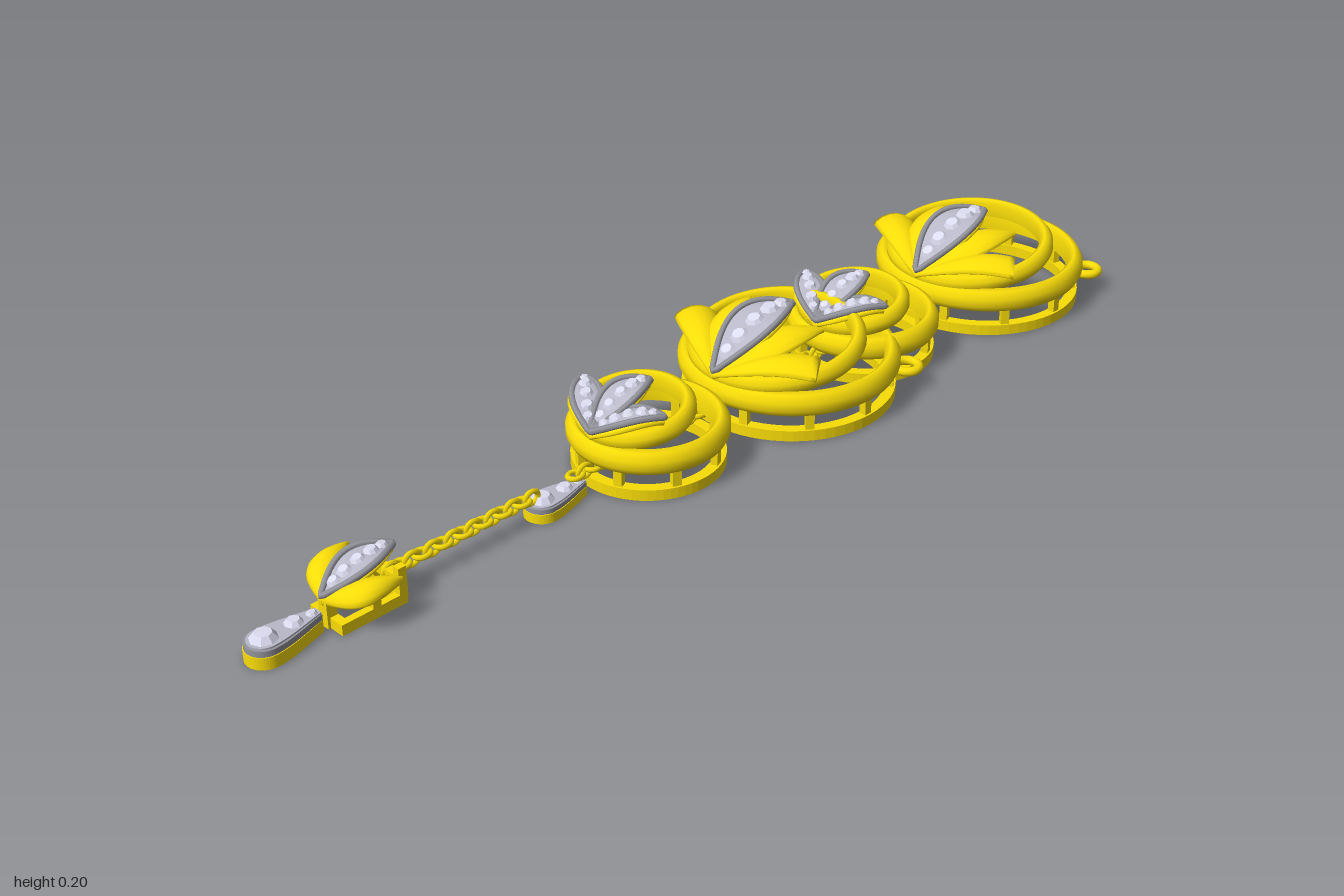
import * as THREE from 'three';

const gold = new THREE.MeshStandardMaterial({ color: 0xfadd08 });
const silver = new THREE.MeshStandardMaterial({ color: 0x94949c });
const pave = new THREE.MeshStandardMaterial({ color: 0xb8b8c8 });
const stone = new THREE.MeshStandardMaterial({ color: 0xdcdcf0, flatShading: true });

function add(parent, name, geo, mat, x = 0, y = 0, z = 0) {
  const m = new THREE.Mesh(geo, mat);
  m.name = name;
  m.position.set(x, y, z);
  parent.add(m);
  return m;
}

// Leaf outline: half width along the length; blunt leaves are cut off at full width
const leafWidth = (s, blunt) => Math.pow(Math.sin(Math.PI * (blunt ? s * 0.55 : s)), 0.9);

// Centre line of a petal: rises quickly, then levels out and dips at the tip
const rise = (s, h) => h * Math.sin(s * Math.PI * 0.65);

// Solid petal growing from the origin toward -z; cup lifts the edges, bend bows it sideways
function petalGeometry({ L, W, h, t, cup = -0.25, bend = 0, blunt = false }) {
  const N = 18, M = 14, pos = [], idx = [];
  for (let i = 0; i <= N; i++) {
    const s = i / N, w = Math.max(W * leafWidth(s, blunt), 0.002);
    for (let j = 0; j < M; j++) {
      const a = (j / M) * Math.PI * 2, c = Math.cos(a);
      const y = rise(s, h) + cup * w * c * c + Math.sin(a) * t * (0.4 + 0.6 * w / W);
      pos.push(c * w + bend * Math.sin(Math.PI * s), y, -s * L);
    }
  }
  for (let i = 0; i < N; i++) for (let j = 0; j < M; j++) {
    const a = i * M + j, b = i * M + (j + 1) % M;
    idx.push(a, a + M, b, b, a + M, b + M);
  }
  // End caps
  for (let j = 1; j < M - 1; j++) {
    idx.push(0, j, j + 1, N * M, N * M + j + 1, N * M + j);
  }
  const g = new THREE.BufferGeometry();
  g.setAttribute('position', new THREE.Float32BufferAttribute(pos, 3));
  g.setIndex(idx);
  g.computeVertexNormals();
  return g;
}

function cutStone(parent, x, y, z, r) {
  return add(parent, 'stone', new THREE.CylinderGeometry(r * 0.6, r, r * 0.5, 8), stone, x, y, z);
}

// Stone-set leaf: pale bed, raised rim and a row of stones
function jewelLeaf({ L, W, h, lift, cup }) {
  const g = new THREE.Group();
  g.name = 'jewelLeaf';
  add(g, 'bed', petalGeometry({ L, W, h, t: 0.008, cup }), pave, 0, lift, 0);
  const pts = [];
  for (const side of [1, -1]) for (let i = 0; i < 12; i++) {
    const s = side > 0 ? i / 12 : 1 - i / 12;
    const w = W * leafWidth(s);
    pts.push(new THREE.Vector3(side * w, rise(s, h) + lift + cup * w + 0.003, -s * L));
  }
  const path = new THREE.CatmullRomCurve3(pts, true, 'centripetal');
  add(g, 'rim', new THREE.TubeGeometry(path, 60, 0.006, 6, true), silver);
  for (const s of [0.17, 0.32, 0.51, 0.7, 0.85]) {
    const r = Math.min(W * leafWidth(s) * 0.7, L * 0.095);
    const m = cutStone(g, 0, rise(s, h) + lift + 0.01, -s * L, r);
    m.rotation.x = Math.atan2(h * Math.PI * 0.65 * Math.cos(s * Math.PI * 0.65), L);
  }
  return g;
}

// Band with a flat inside and a rounded outside
function bandGeometry(inner, outer, y0, y1) {
  const d = outer - inner, k = y1 - y0;
  const p = [[inner, y0], [outer - d * 0.2, y0], [outer, y0 + k * 0.25], [outer, y0 + k * 0.6],
    [outer - d * 0.3, y0 + k * 0.92], [inner + d * 0.35, y1], [inner, y0 + k * 0.8], [inner, y0]];
  return new THREE.LatheGeometry(p.map(([r, y]) => new THREE.Vector2(r, y)), 64);
}

// Open gallery: flat base ring, posts and domed upper ring, plus tilted inner ring
function ringFrame(R, inner, innerZ, posts) {
  const g = new THREE.Group();
  g.name = 'ringFrame';
  const base = [[R - 0.028, 0], [R - 0.007, 0], [R - 0.007, 0.021], [R - 0.028, 0.021], [R - 0.028, 0]];
  const baseGeo = new THREE.LatheGeometry(base.map(([r, y]) => new THREE.Vector2(r, y)), 64).toNonIndexed();
  baseGeo.computeVertexNormals();
  add(g, 'baseRing', baseGeo, gold);
  add(g, 'upperRing', bandGeometry(R - 0.029, R, 0.053, 0.097), gold);
  for (let i = 0; i < posts; i++) {
    const a = ((i + 0.5) / posts) * Math.PI * 2;
    const m = add(g, 'post', new THREE.BoxGeometry(0.016, 0.05, 0.014), gold,
      Math.sin(a) * (R - 0.018), 0.038, Math.cos(a) * (R - 0.018));
    m.rotation.y = a;
  }
  const tilted = add(g, 'innerRing', bandGeometry(inner - 0.026, inner, -0.017, 0.018), gold, 0, 0.117, innerZ);
  tilted.rotation.x = 0.11;
  return g;
}

// Fan of mirrored petals around a base point
function fan(parent, specs, y, z) {
  for (const s of specs) for (const k of s.angle ? [-1, 1] : [1]) {
    const p = new THREE.Group();
    p.name = s.jewel ? 'jewelPetal' : 'petal';
    p.position.set(0, y, z);
    p.rotation.y = -k * s.angle;
    add(p, 'petalBody', petalGeometry({ ...s, bend: k * (s.bend ?? 0) }), gold);
    if (s.jewel) p.add(jewelLeaf({ L: s.L * 1.01, W: s.W * s.jewel, h: s.h, lift: s.t * 0.9, cup: s.cup }));
    parent.add(p);
  }
}

function largeLotus(z) {
  const g = new THREE.Group();
  g.name = 'largeLotus';
  g.position.z = z;
  g.add(ringFrame(0.208, 0.166, 0.035, 10));
  fan(g, [
    { angle: 0, L: 0.207, W: 0.052, h: 0.069, t: 0.01, cup: 0.15, jewel: 0.88 },
    { angle: 0.44, L: 0.215, W: 0.046, h: 0.062, t: 0.011 },
    { angle: 0.95, L: 0.19, W: 0.04, h: 0.042, t: 0.012, blunt: true },
  ], 0.102, 0.203);
  add(g, 'stud', new THREE.CylinderGeometry(0.018, 0.018, 0.07, 16), gold, 0, 0.085, 0.165);
  for (const k of [-1, 1]) {
    const e = add(g, 'eyelet', new THREE.TorusGeometry(0.023, 0.009, 10, 24), gold, k * 0.155, 0.042, -0.158);
    e.rotation.x = Math.PI / 2;
    const b = add(g, 'eyeletStem', new THREE.BoxGeometry(0.016, 0.016, 0.026), gold, k * 0.134, 0.042, -0.134);
    b.rotation.y = k * -Math.PI / 4;
  }
  return g;
}

function smallLotus(z) {
  const g = new THREE.Group();
  g.name = 'smallLotus';
  g.position.z = z;
  g.add(ringFrame(0.146, 0.107, 0.03, 8));
  fan(g, [
    { angle: 0, L: 0.143, W: 0.038, h: 0.051, t: 0.01, cup: 0.12, jewel: 0.88 },
    { angle: 0.9, L: 0.128, W: 0.034, h: 0.042, t: 0.01, cup: 0, jewel: 0.76 },
  ], 0.102, 0.138);
  add(g, 'stud', new THREE.CylinderGeometry(0.014, 0.014, 0.07, 16), gold, 0, 0.08, 0.112);
  return g;
}

// Stone-set drop lying flat, narrow end toward -z
function teardrop(z0, L, W, H) {
  const g = new THREE.Group(), c = -(L - W);
  g.name = 'teardrop';
  g.position.z = z0;
  const layer = (name, k, y, depth, mat) => {
    const s = new THREE.Shape();
    s.moveTo(W * 0.3 * k, -0.003);
    s.bezierCurveTo(W * 0.6 * k, c * 0.4, W * k, c * 0.7, W * k, c);
    s.absarc(0, c, W * k, 0, -Math.PI, true);
    s.bezierCurveTo(-W * k, c * 0.7, -W * 0.6 * k, c * 0.4, -W * 0.3 * k, -0.003);
    const m = add(g, name, new THREE.ExtrudeGeometry(s, { depth, bevelEnabled: false }), mat, 0, y, 0);
    m.rotation.x = -Math.PI / 2;
  };
  layer('dropBase', 1, 0, H * 0.45, gold);
  layer('dropSetting', 0.95, H * 0.45, H * 0.22, silver);
  layer('dropBed', 0.82, H * 0.67, H * 0.06, pave);
  cutStone(g, 0, H * 0.84, -c, W * 0.72);
  cutStone(g, 0, H * 0.8, -c * 0.47, W * 0.5);
  cutStone(g, 0, H * 0.77, -c * 0.15, W * 0.3);
  return g;
}

// Links alternate between upright and flat
function chain(z0, z1) {
  const g = new THREE.Group(), n = Math.round((z1 - z0) / 0.021);
  g.name = 'chain';
  for (let i = 0; i <= n; i++) {
    const m = add(g, 'link', new THREE.TorusGeometry(0.012, 0.0048, 6, 14), gold, 0, 0.043, z0 + (z1 - z0) * i / n);
    m.scale.x = 1.2;
    if (i % 2) m.rotation.set(Math.PI / 2, 0, Math.PI / 2);
    else m.rotation.y = Math.PI / 2;
  }
  return g;
}

// Small bud hanging on the chain, over a narrow frame of rails and posts
function bud() {
  const g = new THREE.Group();
  g.name = 'bud';
  fan(g, [
    { angle: 0, L: 0.142, W: 0.037, h: 0.034, t: 0.009, cup: 0.12, jewel: 0.88 },
    { angle: 0.58, L: 0.128, W: 0.03, h: 0.026, t: 0.016, bend: 0.016 },
  ], 0.048, 0.855);
  for (const x of [-0.034, 0.034]) {
    add(g, 'budRail', new THREE.BoxGeometry(0.014, 0.02, 0.13), gold, x, 0.01, 0.785);
    for (const z of [0.727, 0.78]) add(g, 'budPost', new THREE.BoxGeometry(0.014, 0.06, 0.016), gold, x, 0.04, z);
  }
  for (const z of [0.727, 0.842]) add(g, 'budCrossBar', new THREE.BoxGeometry(0.07, 0.02, 0.016), gold, 0, 0.01, z);
  add(g, 'budFrontPost', new THREE.BoxGeometry(0.022, 0.05, 0.02), gold, 0, 0.025, 0.845);
  add(g, 'budBar', new THREE.BoxGeometry(0.07, 0.016, 0.016), gold, 0, 0.045, 0.727);
  return g;
}

export function createModel() {
  const model = new THREE.Group();
  model.name = 'lotusPendant';
  for (const z of [-0.791, -0.221]) model.add(largeLotus(z));
  for (const z of [-0.431, 0.145]) model.add(smallLotus(z));
  for (const [a, b] of [[-0.38, -0.03], [0.0, 0.32], [0.42, 0.72]]) model.add(chain(a, b));
  model.add(teardrop(0.3, 0.13, 0.033, 0.04));
  model.add(bud());
  model.add(teardrop(0.86, 0.14, 0.034, 0.05));
  return model;
}
